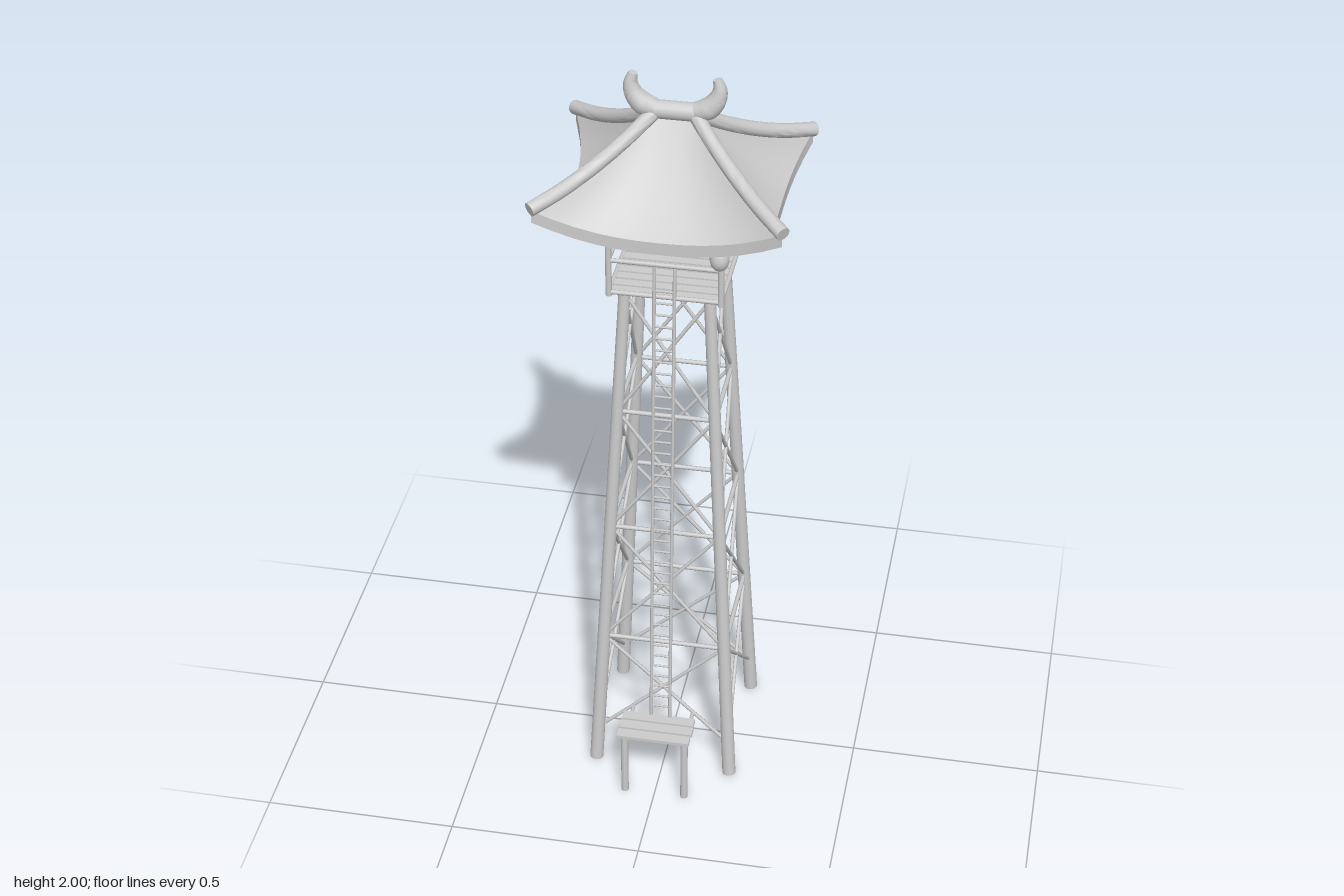
import * as THREE from 'three';
import { toCreasedNormals } from 'three/addons/utils/BufferGeometryUtils.js';

const grey = new THREE.MeshStandardMaterial({ color: 0xcccccc });
const thin = new THREE.MeshStandardMaterial({ color: 0xcccccc, side: THREE.DoubleSide });
const V = (x, y, z) => new THREE.Vector3(x, y, z);
const CORNERS = [[1, 1], [1, -1], [-1, -1], [-1, 1]];

function add(parent, name, geometry, material = grey) {
  const mesh = new THREE.Mesh(geometry, material);
  mesh.name = name;
  parent.add(mesh);
  return mesh;
}

// Round pole between two points
function pole(parent, name, a, b, r0, r1 = r0, sides = 8) {
  const dir = b.clone().sub(a);
  const mesh = add(parent, name, new THREE.CylinderGeometry(r1, r0, dir.length(), sides));
  mesh.position.copy(a).add(b).multiplyScalar(0.5);
  mesh.quaternion.setFromUnitVectors(V(0, 1, 0), dir.normalize());
  return mesh;
}

function box(parent, name, w, h, d, x, y, z) {
  add(parent, name, new THREE.BoxGeometry(w, h, d)).position.set(x, y, z);
}

// Tube along a smooth path whose radius follows a list; both ends are capped flat
function taperedTube(parent, name, points, radii, sides = 14, n = 16) {
  const path = new THREE.CatmullRomCurve3(points);
  const geo = new THREE.TubeGeometry(path, n, 1, sides);
  const pos = geo.attributes.position;
  const v = V(), ringSize = sides + 1;
  for (let i = 0; i <= n; i++) {
    const t = i === 1 ? 0 : i === n - 1 ? 1 : i / n;
    const f = t * (radii.length - 1), k = Math.min(Math.floor(f), radii.length - 2);
    const r = i === 0 || i === n ? 0 : THREE.MathUtils.lerp(radii[k], radii[k + 1], f - k);
    const from = path.getPointAt(i / n), to = path.getPointAt(t);
    for (let j = 0; j < ringSize; j++) {
      const q = i * ringSize + j;
      v.fromBufferAttribute(pos, q).sub(from).multiplyScalar(r).add(to);
      pos.setXYZ(q, v.x, v.y, v.z);
    }
  }
  return add(parent, name, toCreasedNormals(geo, 0.8));
}

// Smooth surface from a rule f(u, v), u and v in 0..1
function sheet(parent, name, f, nu, nv) {
  const pos = [], idx = [];
  for (let j = 0; j <= nv; j++) for (let i = 0; i <= nu; i++) pos.push(...f(i / nu, j / nv).toArray());
  for (let j = 0; j < nv; j++) for (let i = 0; i < nu; i++) {
    const a = j * (nu + 1) + i, b = a + nu + 1;
    idx.push(a, b, a + 1, b, b + 1, a + 1);
  }
  const geo = new THREE.BufferGeometry();
  geo.setAttribute('position', new THREE.Float32BufferAttribute(pos, 3));
  geo.setIndex(idx);
  geo.computeVertexNormals();
  return add(parent, name, geo, thin);
}

// Half width of the tapering tower at height y
const half = (y) => 0.182 - 0.077 * (y / 1.465);
const corner = ([sx, sz], y) => V(sx * half(y), y, sz * half(y));

function buildTower(parent) {
  const levels = [0.1, 0.41, 0.76, 1.11, 1.45];
  CORNERS.forEach((c, i) => {
    const next = CORNERS[(i + 1) % 4];
    pole(parent, 'leg', corner(c, 0), corner(c, 1.465), 0.018, 0.015, 16);
    for (let k = 0; k < 4; k++) {
      const lo = levels[k], hi = levels[k + 1];
      pole(parent, 'crossBrace', corner(c, lo), corner(next, hi), 0.005);
      pole(parent, 'crossBrace', corner(next, lo), corner(c, hi), 0.005);
      pole(parent, 'horizontalBrace', corner(c, hi), corner(next, hi), 0.006);
    }
  });
}

function buildLookout(parent) {
  // Plank floor
  for (let i = 0; i < 9; i++) {
    box(parent, 'floorPlank', 0.276 + 0.004 * (i % 3), 0.01, 0.025, 0.003 * ((i % 2) - 0.5), 1.468, -0.124 + i * 0.031);
  }
  // Railings; the lantern corner has a short post, the others carry the roof
  const R = 0.138;
  CORNERS.forEach(([sx, sz], i) => {
    const [nx, nz] = CORNERS[(i + 1) % 4];
    for (const y of [1.47, 1.56]) {
      pole(parent, 'rail', V(sx * R, y, sz * R), V(nx * R, y, nz * R), 0.006);
    }
    pole(parent, 'railPost', V(sx * R, 1.46, sz * R), V(sx * R, i === 0 ? 1.57 : 1.74, sz * R), 0.008);
  });
  // Lantern on the front left corner
  const profile = [[0, 0], [0.012, 0.002], [0.021, 0.014], [0.024, 0.03], [0.02, 0.048], [0.01, 0.06], [0, 0.068]];
  const curve = new THREE.SplineCurve(profile.map(([x, y]) => new THREE.Vector2(Math.max(x, 0), y)));
  const pts = curve.getPoints(18).map((p) => p.setX(Math.max(p.x, 0)));
  add(parent, 'lantern', new THREE.LatheGeometry(pts, 18)).position.set(0.133, 1.562, 0.135);
  // Small signal horn on the side rail
  taperedTube(parent, 'signalHorn', [V(-0.14, 1.568, 0.03), V(-0.144, 1.571, 0.047), V(-0.148, 1.582, 0.056), V(-0.148, 1.6, 0.057)],
    [0.004, 0.006, 0.005, 0.003], 8, 10);
}

// Roof size: eave corner (CX, CZ), eave middle (MX, MZ), ridge half length
const CX = 0.298, CZ = 0.25, MX = 0.256, MZ = 0.209, RIDGE = 0.045;
const sag = (v) => 0.02 * 4 * v * (1 - v);

function buildRoof(parent) {
  const roofPoint = (side, u, v, drop) => {
    const s = u * 2 - 1, a = Math.abs(s);
    const y = THREE.MathUtils.lerp(1.905, 1.665 + 0.08 * a ** 2.5, v) - sag(v) - drop;
    const bow = a ** 3;
    const alongX = side % 2 === 0;
    const flip = side < 2 ? 1 : -1;
    const x = alongX ? THREE.MathUtils.lerp(RIDGE * s, CX * s, v)
      : THREE.MathUtils.lerp(RIDGE, MX + (CX - MX) * bow, v);
    const z = alongX ? v * (MZ + (CZ - MZ) * bow) : -CZ * s * v;
    return V(x * flip, y, z * flip);
  };
  for (let side = 0; side < 4; side++) {
    sheet(parent, 'roofSlope', (u, v) => roofPoint(side, u, v, 0), 12, 10);
    sheet(parent, 'eaveEdge', (u, v) => roofPoint(side, u, 1, 0.032 * v), 12, 1);
    sheet(parent, 'roofUnderside', (u, v) => roofPoint(side, 1 - u, v, 0.032), 12, 10);
  }
  // Hip ridges running to the corners
  for (const [sx, sz] of CORNERS) {
    const points = [0, 0.25, 0.5, 0.75, 1.01].map((v) =>
      V(sx * THREE.MathUtils.lerp(RIDGE, CX, v), THREE.MathUtils.lerp(1.905, 1.75, v) - sag(v), sz * CZ * v));
    taperedTube(parent, 'hipRidge', points, [0.018, 0.018]);
  }
  // Top ridge with an upturned horn at each end
  pole(parent, 'topRidge', V(-0.06, 1.907, 0), V(0.06, 1.907, 0), 0.023, 0.023, 20);
  for (const s of [1, -1]) {
    taperedTube(parent, 'ridgeHorn', [V(s * 0.05, 1.91, 0), V(s * 0.08, 1.921, 0), V(s * 0.1, 1.945, 0),
      V(s * 0.107, 1.972, 0), V(s * 0.101, 1.999, 0)], [0.023, 0.028, 0.024, 0.018, 0.011], 14, 24);
  }
}

function buildLadder(parent) {
  const at = (x, t) => V(x, 0.195 + 1.36 * t, 0.186 - 0.071 * t);
  for (const x of [-0.025, 0.025]) pole(parent, 'ladderRail', at(x, 0), at(x, 1), 0.0045);
  for (let i = 1; i < 40; i++) pole(parent, 'ladderRung', at(-0.025, i / 41), at(0.025, i / 41), 0.003, 0.003, 6);
}

function buildStep(parent) {
  for (let i = 0; i < 3; i++) {
    box(parent, 'stepPlank', 0.192 + 0.002 * (i % 2), 0.009, 0.03, -0.003 + 0.001 * (i % 2), 0.192, 0.199 + i * 0.0358);
  }
  for (const x of [-0.08, 0.08]) {
    pole(parent, 'stepLeg', V(x, 0, 0.274), V(x, 0.19, 0.274), 0.01, 0.01, 12);
    pole(parent, 'stepBeam', V(x, 0.184, 0.15), V(x, 0.184, 0.278), 0.005);
  }
}

export function createModel() {
  const model = new THREE.Group();
  model.name = 'watchtower';
  const section = (name, build, z) => {
    const group = new THREE.Group();
    group.name = name;
    group.position.z = z;
    build(group);
    model.add(group);
  };
  section('tower', buildTower, -0.025);
  section('lookout', buildLookout, -0.025);
  section('roof', buildRoof, -0.025);
  section('ladder', buildLadder, 0);
  section('entryStep', buildStep, 0);
  return model;
}
